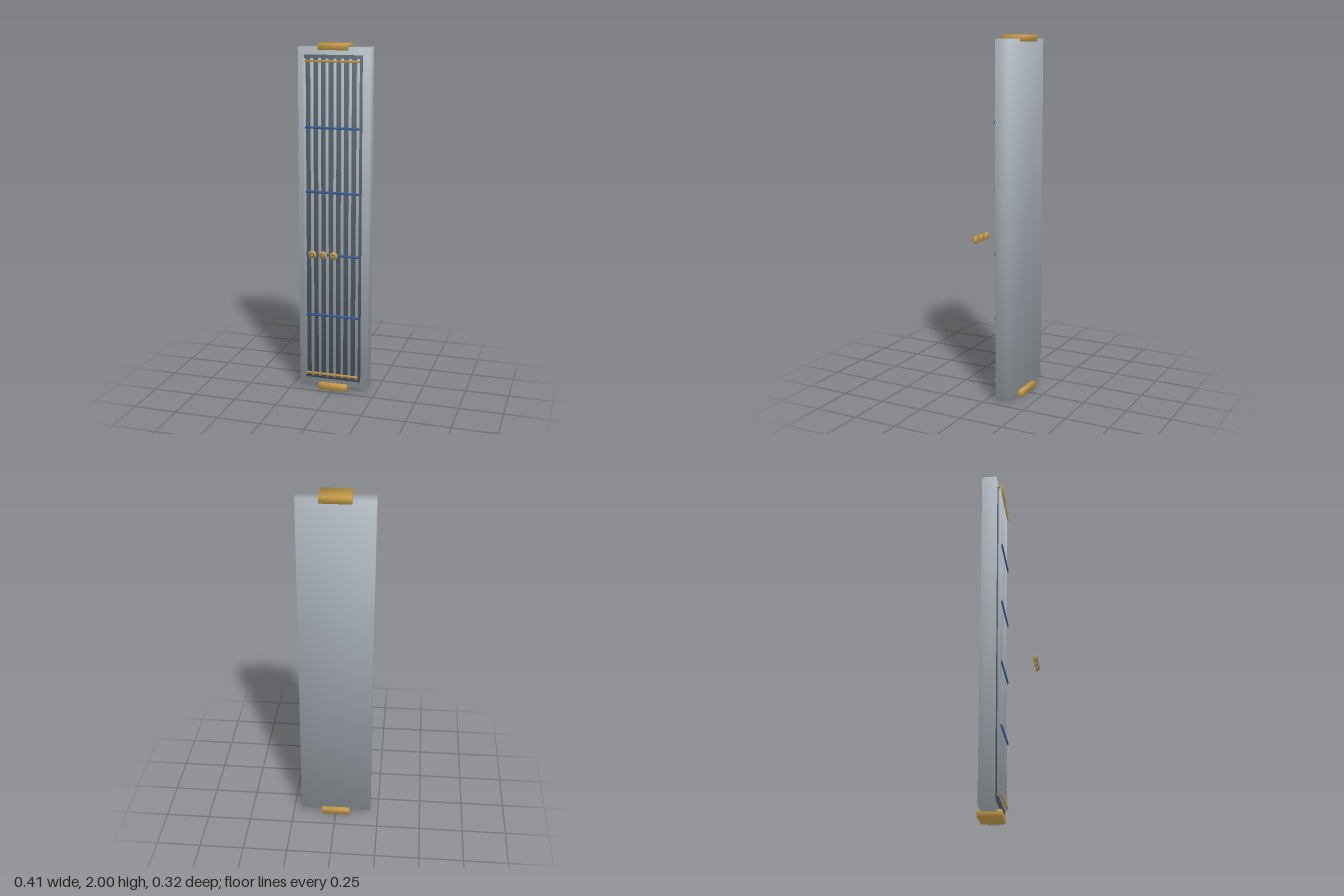
import * as THREE from 'three';
import { mergeVertices } from 'three/addons/utils/BufferGeometryUtils.js';

function material(name, color) {
  const m = new THREE.MeshStandardMaterial({ color });
  m.name = name;
  return m;
}

// Box given by its extents, with soft normals that fan out at the corners
function softBox(x0, x1, y0, y1, z0, z1) {
  const g = new THREE.BoxGeometry(x1 - x0, y1 - y0, z1 - z0);
  const p = g.attributes.position, n = g.attributes.normal, k = 1 / Math.sqrt(3);
  for (let i = 0; i < p.count; i++) {
    n.setXYZ(i, Math.sign(p.getX(i)) * k, Math.sign(p.getY(i)) * k, Math.sign(p.getZ(i)) * k);
  }
  return g.translate((x0 + x1) / 2, (y0 + y1) / 2, (z0 + z1) / 2);
}

// Disc facing +z with normals shared across the rim
function softDisc(radius, depth) {
  let g = new THREE.CylinderGeometry(radius, radius, depth, 20).rotateX(Math.PI / 2);
  g.deleteAttribute('normal');
  g.deleteAttribute('uv');
  g = mergeVertices(g);
  g.computeVertexNormals();
  return g;
}

export function createModel() {
  const steel = material('pale steel', 0xaeb6be);
  const slate = material('dark slate', 0x59646f);
  const brass = material('brass', 0xc99f4c);
  const blue = material('blue', 0x3a649f);

  const model = new THREE.Group();
  model.name = 'tallPanel';
  const add = (name, geometry, mat, parent = model) => {
    const mesh = new THREE.Mesh(geometry, mat);
    mesh.name = name;
    parent.add(mesh);
    return mesh;
  };

  // Main slab and recessed-looking front plate
  add('body', softBox(-0.204, 0.204, 0.025, 1.98, -0.14, -0.056), steel);
  add('frontPlate', softBox(-0.163, 0.163, 0.065, 1.938, -0.058, -0.043), slate);

  // Clamps at both ends
  add('topClamp', softBox(-0.083, 0.083, 1.964, 2, -0.161, -0.033), brass);
  add('bottomClamp', softBox(-0.083, 0.083, 0, 0.037, -0.161, -0.033), brass);

  // Vertical bars
  const bars = new THREE.Group();
  bars.name = 'verticalBars';
  model.add(bars);
  for (let i = 0; i < 8; i++) {
    const x = -0.162 + i * 0.0436;
    add('verticalBar', softBox(x - 0.007, x + 0.007, 0.083, 1.92, -0.048, -0.032), steel, bars);
  }

  // Cross rods: brass at the ends, blue between
  for (let i = 0; i < 6; i++) {
    const y = 0.1 + i * 0.361, end = i === 0 || i === 5;
    add(end ? 'endRod' : 'crossRod',
      softBox(-0.154, 0.154, y - 0.006, y + 0.006, -0.032, -0.024), end ? brass : blue);
  }

  // Floating knobs with a thin dark ring in front
  for (const x of [-0.061, 0, 0.06]) {
    const knob = new THREE.Group();
    knob.name = 'knob';
    knob.position.set(x, 0.87, 0);
    add('knobCap', softDisc(0.0215, 0.014), brass, knob).position.z = 0.144;
    add('knobRing', new THREE.TorusGeometry(0.011, 0.0025, 8, 24), slate, knob).position.z = 0.1555;
    model.add(knob);
  }
  return model;
}
